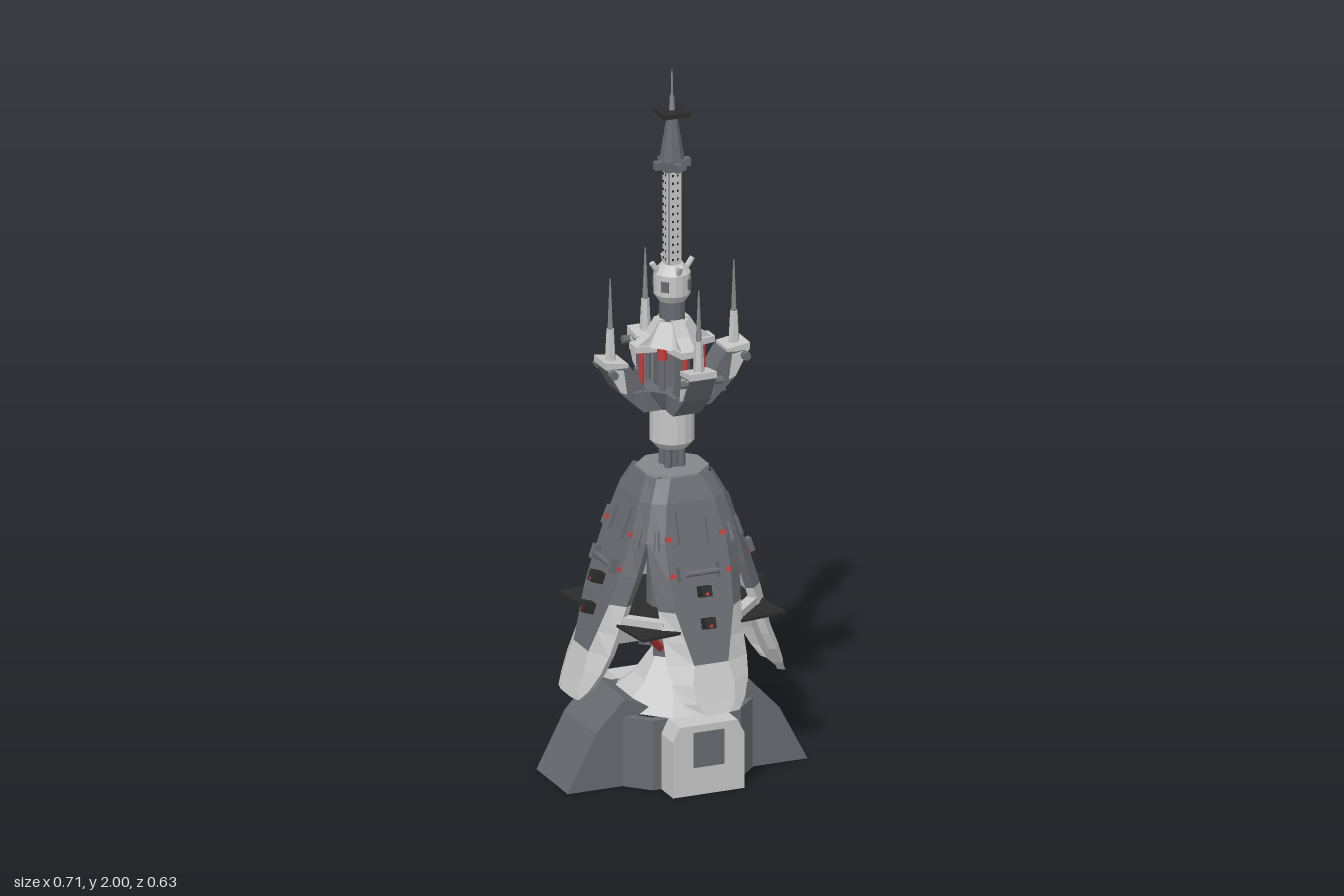
import * as THREE from 'three';

const mat = (name, color) => Object.assign(new THREE.MeshStandardMaterial({ color, flatShading: true }), { name });

export function createModel() {
  const M = {
    dark: mat('dark grey', 0x686a70), light: mat('light grey', 0xc6c6c6), mid: mat('mid grey', 0x85878a),
    black: mat('black', 0x2b2b2b), red: mat('red', 0xc23c3a),
  };
  const root = new THREE.Group();
  root.name = 'tower';

  const add = (parent, name, geo, m, x = 0, y = 0, z = 0) => {
    const mesh = new THREE.Mesh(geo, m);
    mesh.name = name;
    mesh.position.set(x, y, z);
    parent.add(mesh);
    return mesh;
  };
  const box = (p, name, m, w, h, d, x, y, z) => add(p, name, new THREE.BoxGeometry(w, h, d), m, x, y, z);
  // upright prism or frustum between heights y0 and y1
  const post = (p, name, m, r0, r1, y0, y1, sides = 8, x = 0, z = 0) => {
    const g = new THREE.CylinderGeometry(r1, r0, y1 - y0, sides).rotateY(Math.PI / sides);
    return add(p, name, g, m, x, (y0 + y1) / 2, z);
  };
  const rod = (p, name, m, a, b, r) => {
    const A = new THREE.Vector3(...a), B = new THREE.Vector3(...b);
    const mesh = add(p, name, new THREE.CylinderGeometry(r, r, A.distanceTo(B), 8), m);
    mesh.position.copy(A).lerp(B, 0.5);
    mesh.quaternion.setFromUnitVectors(new THREE.Vector3(0, 1, 0), B.sub(A).normalize());
    return mesh;
  };
  // profile in x-y, extruded across z, with an optional hole
  const vecs = pts => pts.map(q => new THREE.Vector2(...q));
  const slab = (p, name, m, pts, depth, hole) => {
    const s = new THREE.Shape(vecs(pts));
    if (hole) s.holes.push(new THREE.Path(vecs(hole)));
    const g = new THREE.ExtrudeGeometry(s, { depth, bevelEnabled: false }).translate(0, 0, -depth / 2);
    return add(p, name, g, m);
  };
  const around = (name, n, fn, start = 0) => {
    for (let i = 0; i < n; i++) {
      const g = new THREE.Group();
      g.name = name;
      g.rotation.y = start + i * Math.PI * 2 / n;
      fn(g);
      root.add(g);
    }
  };

  // base: two sloping buttresses, two hollow chamfered blocks, hollow middle
  around('buttress', 2, g => {
    slab(g, 'buttressWedge', M.dark,
      [[0.165, 0], [0.353, 0], [0.27, 0.16], [0.185, 0.25], [0.1, 0.21], [0.1, 0.197], [0.165, 0.197]], 0.213);
  });
  around('baseBlock', 2, g => {
    const outline = [[0.105, 0], [0.105, 0.16], [0.085, 0.2], [-0.085, 0.2], [-0.105, 0.16], [-0.105, 0]];
    const inner = [[-0.09, 0], [-0.09, 0.155], [-0.075, 0.185], [0.075, 0.185], [0.09, 0.155], [0.09, 0]];
    slab(g, 'blockShell', M.light, [...outline, ...inner], 0.125).position.z = 0.1775;
    slab(g, 'blockFront', M.light, outline, 0.01).position.z = 0.245;
    box(g, 'blockPanel', M.dark, 0.09, 0.1, 0.006, 0, 0.13, 0.251);
  });
  const middle = slab(root, 'baseMiddle', M.dark,
    [[-0.19, -0.11], [-0.13, -0.17], [0.13, -0.17], [0.19, -0.11], [0.19, 0.11], [0.13, 0.17], [-0.13, 0.17], [-0.19, 0.11]], 0.2,
    [[-0.165, -0.1], [-0.165, 0.1], [-0.12, 0.145], [0.12, 0.145], [0.165, 0.1], [0.165, -0.1], [0.12, -0.145], [-0.12, -0.145]]);
  middle.rotation.x = -Math.PI / 2;
  middle.position.y = 0.1;
  box(root, 'baseCeiling', M.black, 0.32, 0.008, 0.28, 0, 0.192, 0);
  post(root, 'baseMound', M.light, 0.19, 0.1, 0.2, 0.27);
  post(root, 'baseCollar', M.light, 0.105, 0.055, 0.27, 0.34);

  // inner column, corner plate, its edge bars and struts
  post(root, 'innerColumn', M.light, 0.055, 0.06, 0.34, 0.46, 16);
  post(root, 'innerColumnUpper', M.dark, 0.07, 0.07, 0.46, 0.82, 12);
  box(root, 'cornerPlate', M.black, 0.448, 0.008, 0.448, 0, 0.466, 0).rotation.y = 0.124;
  around('strut', 4, g => {
    rod(g, 'strutRod', M.red, [0.08, 0.36, 0], [0.215, 0.462, 0], 0.011);
    box(g, 'strutFoot', M.dark, 0.04, 0.04, 0.04, 0.07, 0.36, 0);
    box(g, 'edgeBar', M.light, 0.03, 0.02, 0.13, 0.21, 0.48, 0);
  }, Math.PI / 4);

  // armour petals: [y, reach, half width, half width of the flat centre, set-back of the edge]
  const rows = [
    [0.86, 0.095, 0.08, 0.045, 0.015], [0.8, 0.127, 0.107, 0.07, 0.02], [0.7, 0.16, 0.133, 0.09, 0.027],
    [0.6, 0.195, 0.13, 0.09, 0.035], [0.52, 0.222, 0.122, 0.085, 0.035], [0.44, 0.248, 0.118, 0.065, 0.035],
    [0.38, 0.268, 0.118, 0.05, 0.032], [0.33, 0.285, 0.112, 0.06, 0.025], [0.28, 0.302, 0.092, 0.055, 0.016],
    [0.25, 0.313, 0.068, 0.035, 0.008],
  ];
  const loops = rows.map(([y, r, w, c, d]) => {
    const t = 0.02;
    return [[-w, r - d], [-c, r], [c, r], [w, r - d], [w - 0.01, r - d - t], [c, r - t], [-c, r - t], [0.01 - w, r - d - t]]
      .map(([x, z]) => [x, y, z]);
  });
  const bins = { dark: [], light: [] };
  const quad = (bin, a, b, c, d) => bin.push(...a, ...b, ...c, ...a, ...c, ...d);
  for (let j = 0; j < rows.length - 1; j++) for (let k = 0; k < 8; k++) {
    const n = (k + 1) % 8, limit = k === 1 ? 0.39 : 0.53;
    quad(bins[rows[j][0] < limit ? 'light' : 'dark'], loops[j][k], loops[j + 1][k], loops[j + 1][n], loops[j][n]);
  }
  const tip = loops.at(-1);
  for (let k = 0; k < 3; k++) quad(bins.light, tip[k], tip[7 - k], tip[6 - k], tip[k + 1]);
  const petalGeo = {};
  for (const k in bins) {
    petalGeo[k] = new THREE.BufferGeometry();
    petalGeo[k].setAttribute('position', new THREE.Float32BufferAttribute(bins[k], 3));
    petalGeo[k].computeVertexNormals();
  }
  const reach = y => {
    const j = Math.max(1, rows.findIndex(r => r[0] <= y));
    const [a, b] = [rows[j - 1], rows[j]];
    return a[1] + (b[1] - a[1]) * (a[0] - y) / (a[0] - b[0]);
  };
  around('petal', 4, g => {
    add(g, 'petalArmour', petalGeo.dark, M.dark);
    add(g, 'petalTip', petalGeo.light, M.light);
    const onFace = (name, m, w, h, d, x, y, lift = 0) => {
      box(g, name, m, w, h, d, x, y, reach(y) + lift).rotation.x = -0.326;
    };
    // raised arch, handle rod, marks and hatches
    onFace('archTop', M.dark, 0.1, 0.022, 0.02, 0, 0.765);
    for (const s of [-1, 1]) {
      onFace('archLeg', M.dark, 0.016, 0.075, 0.02, s * 0.042, 0.725);
      onFace('handleLug', M.dark, 0.018, 0.04, 0.035, s * 0.058, 0.62, 0.006);
      onFace('warningMark', M.red, 0.018, 0.012, 0.004, s * 0.08, 0.71, 0.001);
      onFace('warningMark', M.red, 0.018, 0.012, 0.004, s * 0.08, 0.615, 0.001);
      rod(g, 'sideRail', M.dark, [s * 0.105, 0.73, 0.138], [s * 0.112, 0.68, 0.155], 0.008);
    }
    rod(g, 'handleRod', M.dark, [-0.06, 0.62, reach(0.62) + 0.015], [0.06, 0.62, reach(0.62) + 0.015], 0.008);
    for (const y of [0.57, 0.487]) {
      onFace('hatch', M.black, 0.03, 0.03, 0.05, 0, y, 0.01);
      onFace('hatchLight', M.red, 0.008, 0.008, 0.006, 0, y, 0.034);
    }
  });
  post(root, 'shellCap', M.mid, 0.102, 0.1, 0.85, 0.864);

  // neck
  post(root, 'neckCore', M.dark, 0.025, 0.025, 0.86, 0.95, 12);
  around('neckPipe', 4, g => post(g, 'pipe', M.dark, 0.011, 0.011, 0.86, 0.95, 8, 0.027), Math.PI / 4);
  post(root, 'neckTaper', M.light, 0.045, 0.062, 0.92, 0.94, 16);
  post(root, 'neckDrum', M.light, 0.062, 0.062, 0.94, 1.04, 16);
  post(root, 'armHub', M.dark, 0.065, 0.1, 1.04, 1.1);
  post(root, 'hubColumn', M.dark, 0.05, 0.05, 1.1, 1.22, 12);

  // four upswept arms with pads and spires, and canopy fins above
  around('arm', 4, g => {
    slab(g, 'armBeam', M.dark, [[0.05, 1.04], [0.1, 1.04], [0.17, 1.105], [0.212, 1.18], [0.14, 1.178], [0.09, 1.1], [0.05, 1.09]], 0.08);
    slab(g, 'armCheek', M.light, [[0.15, 1.1], [0.169, 1.108], [0.208, 1.178], [0.16, 1.17]], 0.086);
    slab(g, 'armPad', M.light, [[0.146, 1.175], [0.213, 1.178], [0.213, 1.197], [0.146, 1.187]], 0.08);
    for (const s of [-1, 1]) {
      rod(g, 'padPin', M.dark, [0.195, 1.165, s * 0.04], [0.195, 1.165, s * 0.062], 0.012);
      box(g, 'armLug', M.dark, 0.05, 0.03, 0.02, 0.11, 1.09, s * 0.045);
    }
    post(g, 'spireBase', M.light, 0.016, 0.011, 1.185, 1.28, 6, 0.182);
    post(g, 'spireNeedle', M.mid, 0.008, 0.002, 1.28, 1.425, 6, 0.182);
    rod(g, 'hubRod', M.red, [0.09, 1.09, 0], [0.09, 1.21, 0], 0.008);
    const fin = new THREE.Shape(vecs([[0.03, -0.04], [0.117, -0.022], [0.117, 0.022], [0.03, 0.04]]));
    const finGeo = new THREE.ExtrudeGeometry(fin, { depth: 0.018, bevelEnabled: false }).rotateX(-Math.PI / 2);
    add(g, 'canopyFin', finGeo, M.light, 0, 1.206, 0);
    slab(g, 'finRidge', M.light, [[0.03, 1.22], [0.11, 1.222], [0.07, 1.25], [0.045, 1.29], [0.03, 1.29]], 0.036);
  });
  around('canopyLamp', 4, g => {
    post(g, 'lamp', M.red, 0.014, 0.014, 1.19, 1.221, 10, 0.073);
    rod(g, 'lampPipe', M.dark, [0.07, 1.09, 0], [0.07, 1.2, 0], 0.009);
  }, Math.PI / 4);
  post(root, 'canopy', M.light, 0.085, 0.048, 1.22, 1.285);

  // head
  post(root, 'headNeck', M.dark, 0.036, 0.036, 1.28, 1.36, 12);
  post(root, 'headTaper', M.light, 0.038, 0.051, 1.34, 1.36, 16);
  post(root, 'headDrum', M.light, 0.051, 0.051, 1.36, 1.42, 16);
  post(root, 'headDome', M.light, 0.051, 0.03, 1.42, 1.445, 16);
  around('prong', 4, g => rod(g, 'prongRod', M.light, [0.032, 1.41, 0], [0.06, 1.452, 0], 0.008));
  around('headWindow', 4, g => box(g, 'windowPlate', M.dark, 0.006, 0.03, 0.022, 0.05, 1.39, 0), Math.PI / 4);

  // mast: dark core with light perforated faces
  post(root, 'mastCore', M.dark, 0.024, 0.024, 1.44, 1.73, 4);
  around('mastFace', 4, g => {
    box(g, 'facePanel', M.light, 0.008, 0.28, 0.03, 0.018, 1.585, 0);
    for (let i = 0; i < 12; i++) for (const s of [-1, 1]) {
      box(g, 'faceHole', M.black, 0.003, 0.006, 0.004, 0.022, 1.46 + i * 0.022, s * 0.007);
    }
  });
  box(root, 'mastCollar', M.dark, 0.06, 0.03, 0.06, 0, 1.73, 0);
  around('mastCollarArm', 4, g => box(g, 'collarLug', M.dark, 0.03, 0.022, 0.02, 0.037, 1.73, 0));
  post(root, 'mastTaper', M.dark, 0.034, 0.014, 1.745, 1.87);
  box(root, 'topPlate', M.black, 0.078, 0.012, 0.078, 0, 1.878, 0);
  post(root, 'needleBase', M.mid, 0.008, 0.006, 1.885, 1.925);
  post(root, 'needle', M.mid, 0.004, 0.002, 1.92, 2, 6);
  return root;
}
